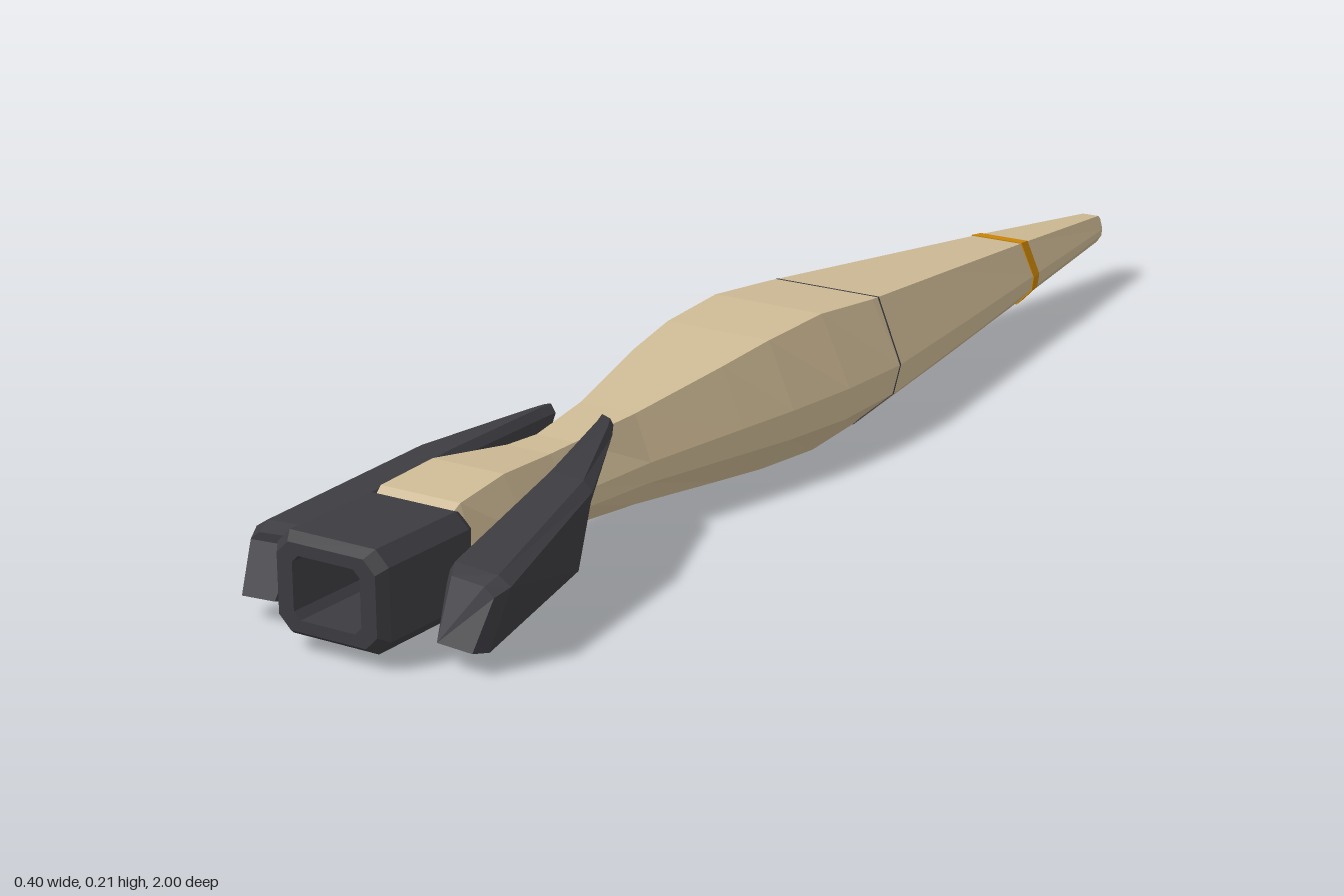
import * as THREE from 'three';

const mat = (name, color) => Object.assign(new THREE.MeshStandardMaterial({ color, flatShading: true }), { name });

// Skin over rings of [x, y, z] points, each ring anticlockwise seen from +z
function loft(rings, capStart = true, capEnd = true) {
  const pos = [];
  const tri = (a, b, c) => pos.push(...a, ...b, ...c);
  const n = rings[0].length;
  for (let i = 0; i < rings.length - 1; i++) {
    const p = rings[i], q = rings[i + 1];
    for (let k = 0; k < n; k++) {
      const m = (k + 1) % n;
      tri(p[k], p[m], q[m]);
      tri(p[k], q[m], q[k]);
    }
  }
  const first = rings[0], last = rings[rings.length - 1];
  for (let k = 1; k < n - 1; k++) {
    if (capStart) tri(first[0], first[k + 1], first[k]);
    if (capEnd) tri(last[0], last[k], last[k + 1]);
  }
  const g = new THREE.BufferGeometry();
  g.setAttribute('position', new THREE.Float32BufferAttribute(pos, 3));
  g.computeVertexNormals();
  return g;
}

// Hull stations: z, top y, bottom y, half widths at top, side and bottom
const STATIONS = [
  [-1.0, 0.104, 0.074, 0.010, 0.014, 0.009],
  [-0.985, 0.112, 0.068, 0.014, 0.022, 0.013],
  [-0.68, 0.143, 0.046, 0.042, 0.065, 0.036],
  [-0.40, 0.169, 0.026, 0.066, 0.103, 0.056],
  [-0.14, 0.193, 0.009, 0.089, 0.137, 0.074],
  [0.0, 0.207, 0.001, 0.090, 0.138, 0.076],
  [0.13, 0.201, 0.009, 0.085, 0.126, 0.072],
  [0.23, 0.188, 0.018, 0.074, 0.107, 0.063],
  [0.40, 0.162, 0.032, 0.045, 0.070, 0.042],
  [0.52, 0.153, 0.038, 0.031, 0.060, 0.030],
  [0.58, 0.155, 0.036, 0.035, 0.065, 0.034],
  [0.71, 0.170, 0.019, 0.057, 0.092, 0.056],
  [0.81, 0.162, 0.022, 0.063, 0.086, 0.062],
  [0.83, 0.148, 0.028, 0.060, 0.080, 0.058],
];

function hullRing([z, top, bot, wt, ws, wb]) {
  const h = top - bot, up = bot + h * 0.5, low = bot + h * 0.27;
  const right = [[wb, bot, z], [ws * 0.95, low, z], [ws, up, z], [wt, top, z]];
  return [...right, ...right.map(([x, y]) => [-x, y, z]).reverse()];
}

function hullAt(z) {
  const i = Math.max(1, STATIONS.findIndex(s => s[0] >= z));
  const a = STATIONS[i - 1], b = STATIONS[i];
  const t = (z - a[0]) / (b[0] - a[0]);
  return hullRing(a.map((v, j) => v + (b[j] - v) * t));
}

// Thin band lying on the hull, optionally leaning along z
function hullBand(z0, z1, lift, lean = 0) {
  const ring = z => hullAt(z).map((_, k) => {
    const f = [1, 0.6, 0.4, 0, 0, 0.4, 0.6, 1][k];
    const [x, y, pz] = hullAt(z + lean * f)[k];
    return [x + Math.sign(x) * lift, y + (y > 0.095 ? lift : -lift), pz];
  });
  return loft([ring(z0), ring(z1)]);
}

// Rectangle with cut corners
function cutRect(hx, y0, y1, c, z) {
  return [[hx - c, y0], [hx, y0 + c], [hx, y1 - c], [hx - c, y1],
    [c - hx, y1], [-hx, y1 - c], [-hx, y0 + c], [c - hx, y0]].map(([x, y]) => [x, y, z]);
}

// Six-sided fin section: bottom and top edges may sit at different z
function finRing(xi, xo, yb, yt, zb, zt, drop = 0.012) {
  const mid = (xi + xo) / 2;
  return [
    [xi + 0.008, yb + 0.003, zb], [xo - 0.01, yb, zb], [xo, yt - drop, zt],
    [mid + (xo - mid) * 0.6, yt, zt], [xi + 0.008, yt + 0.004, zt], [xi, yt - 0.008, zt],
  ];
}

export function createModel() {
  const model = new THREE.Group();
  model.name = 'finnedProjectile';
  const tan = mat('sandTan', 0xcdb994);
  const dark = mat('charcoal', 0x3c3b40);
  const amber = mat('amber', 0xc98508);
  const add = (name, geometry, material) => {
    const m = new THREE.Mesh(geometry, material);
    m.name = name;
    model.add(m);
  };

  // Faceted hull, marking band and panel seam
  add('hull', loft(STATIONS.map(hullRing)), tan);
  add('markingBand', hullBand(-0.692, -0.668, 0.0015), amber);
  add('panelSeam', hullBand(-0.1615, -0.1585, 0.0006, 0.045), dark);

  // Hollow tail nozzle
  add('nozzle', loft([
    cutRect(0.070, 0.032, 0.142, 0.014, 0.812),
    cutRect(0.080, 0.025, 0.151, 0.018, 0.812),
    cutRect(0.087, 0.019, 0.156, 0.020, 0.825),
    cutRect(0.087, 0.019, 0.156, 0.020, 0.985),
    cutRect(0.077, 0.029, 0.146, 0.018, 1.0),
    cutRect(0.053, 0.045, 0.130, 0.010, 1.0),
    cutRect(0.053, 0.045, 0.130, 0.010, 0.828),
  ], false, false), dark);

  // Swept side fins
  const fin = [
    finRing(0.034, 0.060, 0.048, 0.177, 0.53, 0.472, 0.008),
    finRing(0.040, 0.072, 0.045, 0.174, 0.55, 0.492),
    finRing(0.072, 0.145, 0.038, 0.154, 0.66, 0.64),
    finRing(0.108, 0.201, 0.028, 0.117, 0.925, 0.892),
    finRing(0.120, 0.192, 0.032, 0.108, 0.948, 0.915),
  ];
  const mirrored = fin.map(r => r.map(([x, y, z]) => [-x, y, z]).reverse());
  add('leftFin', loft(fin), dark);
  add('rightFin', loft(mirrored), dark);
  return model;
}
